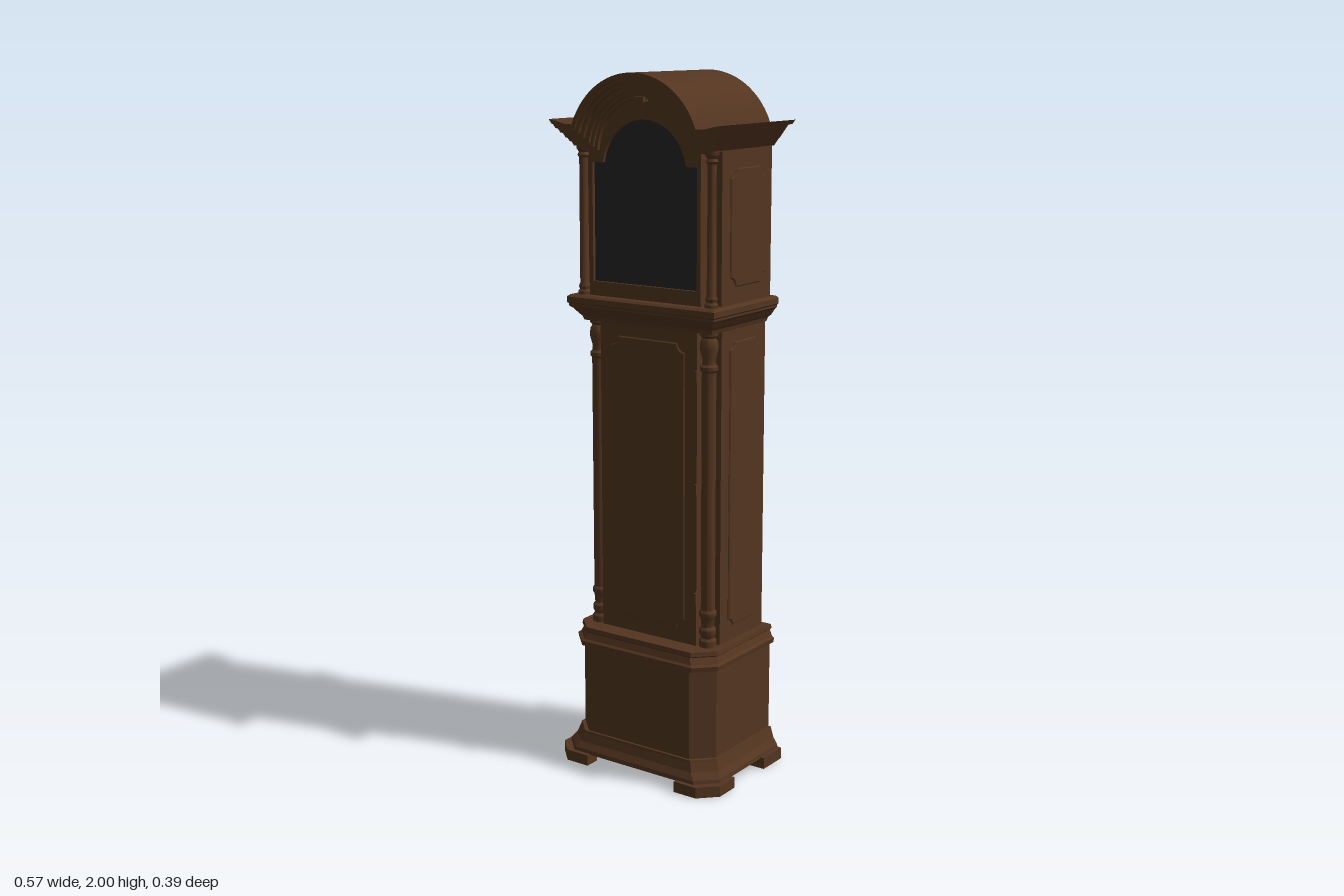
import * as THREE from 'three';
import { toCreasedNormals } from 'three/addons/utils/BufferGeometryUtils.js';

const wood = new THREE.MeshStandardMaterial({ color: 0x533520 });
wood.name = 'dark wood';
const glass = new THREE.MeshStandardMaterial({ color: 0x242424 });
glass.name = 'dark glass';

// Rectangular sections with cut front corners, stacked upwards.
// Each row: [y, half width, front z, back z, corner cut]
function loft(rows) {
  const pos = [];
  const rings = rows.map(([y, w, f, b, c = 0]) => {
    const k = Math.max(c, 0.0005);
    return [[-w, b], [w, b], [w, f - k], [w - k, f], [-w + k, f], [-w, f - k]].map(([x, z]) => [x, y, z]);
  });
  const tri = (...p) => p.forEach((q) => pos.push(...q));
  for (let r = 0; r + 1 < rings.length; r++) {
    const lo = rings[r], hi = rings[r + 1];
    for (let i = 0; i < 6; i++) {
      const j = (i + 1) % 6;
      tri(lo[i], hi[i], hi[j]);
      tri(lo[i], hi[j], lo[j]);
    }
  }
  const bottom = rings[0], top = rings[rings.length - 1];
  for (let i = 1; i < 5; i++) {
    tri(bottom[0], bottom[i], bottom[i + 1]);
    tri(top[0], top[i + 1], top[i]);
  }
  const g = new THREE.BufferGeometry();
  g.setAttribute('position', new THREE.Float32BufferAttribute(pos, 3));
  g.computeVertexNormals();
  return g;
}

// Extrusion of a front-facing shape between two depths
function slab(shape, back, front, bevel = 0) {
  const g = new THREE.ExtrudeGeometry(shape, {
    depth: front - back - bevel, curveSegments: 24, bevelEnabled: bevel > 0,
    bevelSize: bevel, bevelThickness: bevel, bevelOffset: -bevel, bevelSegments: 1,
  });
  g.translate(0, 0, back);
  return toCreasedNormals(g, 0.5);
}

// Swept eaves and round arch, moved inwards by d; runs from +x to -x
function archLine(d) {
  const R = 0.219 - d, cy = 1.781, ex = 0.285 - 0.75 * d, ey = 1.87 - d;
  const a = Math.asin((ey - 0.012 - cy) / R);
  const pts = [[ex, ey], [ex - 0.025, ey - 0.004], [(ex - 0.025 + R * Math.cos(a)) / 2, ey - 0.011]];
  for (let i = 0; i <= 40; i++) {
    const t = a + (Math.PI - 2 * a) * (i / 40);
    pts.push([R * Math.cos(t), cy + R * Math.sin(t)]);
  }
  pts.push([-pts[2][0], pts[2][1]], [-pts[1][0], pts[1][1]], [-ex, ey]);
  return pts.map(([x, y]) => new THREE.Vector2(x, y));
}

// Shouldered opening with an arched head
function archedPath(path, w, y0, shoulder, r, cy) {
  const a = Math.asin((shoulder - cy) / r);
  path.moveTo(-w, y0);
  path.lineTo(w, y0);
  path.lineTo(w, shoulder);
  path.lineTo(r * Math.cos(a), shoulder);
  path.absarc(0, cy, r, a, Math.PI - a, false);
  path.lineTo(-w, shoulder);
  path.closePath();
  return path;
}

// Panel outline with scooped corners, centred on its origin
function scoopedShape(w, h, r) {
  const s = new THREE.Shape(), x = w / 2, y = h / 2, e = r + 0.006;
  const corners = [[x, -y, Math.PI], [x, y, 1.5 * Math.PI], [-x, y, 2 * Math.PI], [-x, -y, 0.5 * Math.PI]];
  s.moveTo(-x + e, -y);
  corners.forEach(([cx, cy, start], i) => {
    const sx = Math.sign(cx), sy = Math.sign(cy);
    if (i % 2 === 0) s.lineTo(cx - sx * e, cy);
    else s.lineTo(cx, cy - sy * e);
    s.absarc(cx, cy, r, start, start - Math.PI / 2, true);
    if (i % 2 === 0) s.lineTo(cx, cy - sy * e);
    else s.lineTo(cx - sx * e, cy);
  });
  s.closePath();
  return s;
}

function lathe(points) {
  return toCreasedNormals(new THREE.LatheGeometry(points.map(([r, y]) => new THREE.Vector2(r, y)), 20), 0.6);
}

export function createModel() {
  const model = new THREE.Group();
  model.name = 'longcaseClock';
  const add = (name, geometry, x = 0, y = 0, z = 0, material = wood) => {
    const m = new THREE.Mesh(geometry, material);
    m.name = name;
    m.position.set(x, y, z);
    model.add(m);
    return m;
  };
  const box = (name, w, h, d, x, y, z) => add(name, new THREE.BoxGeometry(w, h, d), x, y, z);

  // Base with canted corners, flared skirt and upper moulding
  add('skirt', loft([[0.03, 0.268, 0.183, -0.18, 0.055], [0.042, 0.266, 0.181, -0.18, 0.055],
    [0.06, 0.253, 0.17, -0.18, 0.055], [0.085, 0.245, 0.163, -0.18, 0.055], [0.092, 0.243, 0.162, -0.18, 0.055]]));
  add('plinth', loft([[0.09, 0.235, 0.155, -0.18, 0.055], [0.365, 0.235, 0.155, -0.18, 0.055]]));
  add('plinthMoulding', loft([[0.358, 0.248, 0.165, -0.18, 0.055], [0.372, 0.25, 0.166, -0.18, 0.055],
    [0.377, 0.243, 0.16, -0.18, 0.055], [0.395, 0.235, 0.153, -0.18, 0.055],
    [0.4, 0.241, 0.157, -0.18, 0.055], [0.412, 0.239, 0.155, -0.18, 0.055]]));

  // Bracket feet
  for (const s of [-1, 1]) {
    const plan = [[0.155, 0.195], [0.23, 0.195], [0.28, 0.145], [0.28, 0.07], [0.235, 0.07], [0.235, 0.125], [0.21, 0.15], [0.155, 0.15]];
    const foot = new THREE.ExtrudeGeometry(
      new THREE.Shape(plan.map(([x, z]) => new THREE.Vector2(s * x, -z))), { depth: 0.032, bevelEnabled: false });
    foot.rotateX(-Math.PI / 2);
    add('frontFoot', foot);
    box('backFoot', 0.08, 0.034, 0.095, s * 0.24, 0.017, -0.1325);
  }

  // Trunk with recessed corners for the columns
  box('trunkBody', 0.43, 0.93, 0.22, 0, 0.865, -0.055);
  box('trunkFront', 0.33, 0.93, 0.05, 0, 0.865, 0.075);
  add('trunkDoorPanel', slab(scoopedShape(0.25, 0.82, 0.025), 0.1, 0.104, 0.003), 0, 0.865);
  for (const y of [0.555, 0.87, 1.19]) box('trunkHinge', 0.008, 0.03, 0.012, 0.166, y, 0.104);

  // Turned trunk columns
  const column = lathe([[0, 0.41], [0.025, 0.41], [0.025, 0.43], [0.019, 0.437], [0.024, 0.45], [0.024, 0.462],
    [0.018, 0.47], [0.02, 0.495], [0.025, 0.503], [0.025, 0.513], [0.02, 0.52], [0.02, 1.2], [0.025, 1.206],
    [0.025, 1.216], [0.019, 1.222], [0.018, 1.235], [0.026, 1.265], [0.024, 1.285], [0.018, 1.295], [0.025, 1.302],
    [0.025, 1.32], [0, 1.32]]);

  // Slender free-standing hood columns
  const hoodColumn = lathe([[0, 1.38], [0.019, 1.38], [0.019, 1.392], [0.014, 1.398], [0.017, 1.407], [0.013, 1.415],
    [0.012, 1.765], [0.017, 1.772], [0.013, 1.78], [0.019, 1.79], [0.019, 1.805], [0, 1.805]]);

  // Columns and side panels on both sides
  const trunkSide = slab(scoopedShape(0.145, 0.82, 0.02), 0, 0.004, 0.003);
  const hoodSide = slab(scoopedShape(0.17, 0.32, 0.025), 0, 0.004, 0.003);
  for (const s of [-1, 1]) {
    add('trunkColumn', column, s * 0.189, 0, 0.077);
    add('hoodColumn', hoodColumn, s * 0.215, 0, 0.106);
    add('trunkSidePanel', trunkSide, s * 0.215, 0.865, -0.0575).rotation.y = s * Math.PI / 2;
    add('hoodSidePanel', hoodSide, s * 0.23, 1.59, -0.045).rotation.y = s * Math.PI / 2;
  }

  // Waist moulding under the hood
  add('waistMoulding', loft([[1.31, 0.217, 0.108, -0.168], [1.322, 0.221, 0.112, -0.17], [1.328, 0.226, 0.118, -0.178],
    [1.345, 0.238, 0.132, -0.178], [1.352, 0.246, 0.14, -0.178], [1.358, 0.246, 0.14, -0.178],
    [1.362, 0.25, 0.145, -0.178], [1.378, 0.25, 0.145, -0.178], [1.384, 0.243, 0.137, -0.175]]));

  // Hood case
  const line = archLine(0.068);
  const hood = new THREE.Shape([new THREE.Vector2(-0.23, 1.38), new THREE.Vector2(0.23, 1.38),
    new THREE.Vector2(0.23, 1.8), ...line.slice(2, -2), new THREE.Vector2(-0.23, 1.8)]);
  add('hoodCase', slab(hood, -0.165, 0.08));

  // Hood door frame and its arched pane
  const frame = archedPath(new THREE.Shape(), 0.187, 1.385, 1.8, 0.151, 1.781);
  frame.holes.push(archedPath(new THREE.Path(), 0.175, 1.425, 1.755, 0.14, 1.735));
  add('hoodDoorFrame', slab(frame, 0.08, 0.118));
  add('hoodPane', new THREE.ShapeGeometry(archedPath(new THREE.Shape(), 0.177, 1.423, 1.757, 0.142, 1.735), 24), 0, 0, 0.108, glass);
  box('keyBlock', 0.03, 0.014, 0.03, 0, 1.93, 0.125);

  // Arched roof and the stepped cornice below it: [outer inset, inner inset, back z, front z]
  const steps = [[0, 0.012, -0.195, 0.17], [0.012, 0.024, -0.175, 0.164], [0.024, 0.036, -0.175, 0.154],
    [0.036, 0.05, -0.175, 0.144], [0.05, 0.06, -0.172, 0.136], [0.06, 0.07, -0.172, 0.128]];
  steps.forEach(([outer, inner, back, front], i) => {
    const shape = new THREE.Shape([...archLine(outer), ...archLine(inner).reverse()]);
    add(i ? 'corniceStep' : 'roof', slab(shape, back, front));
  });

  // Soffit carrying the hood columns' heads
  for (const s of [-1, 1]) box('columnSoffit', 0.085, 0.008, 0.05, s * 0.19, 1.802, 0.102);

  // Small hinges and latch on the back
  for (const y of [1.5, 1.69]) box('backHinge', 0.012, 0.045, 0.01, -0.17, y, -0.168);
  box('backLatch', 0.01, 0.03, 0.01, 0.155, 1.6, -0.167);

  return model;
}
